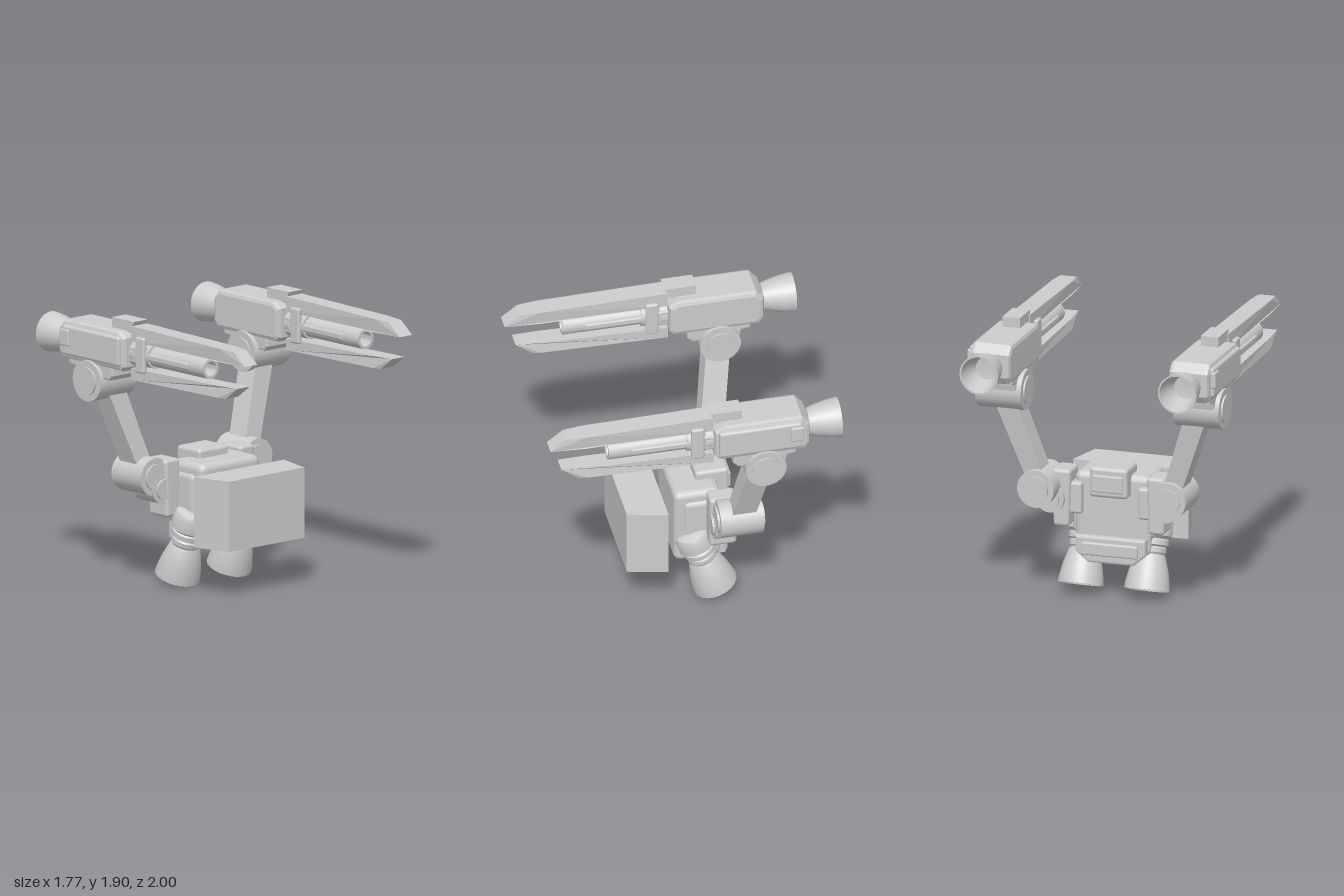
import * as THREE from 'three';
import { RoundedBoxGeometry } from 'three/addons/geometries/RoundedBoxGeometry.js';
import { toCreasedNormals } from 'three/addons/utils/BufferGeometryUtils.js';

const grey = new THREE.MeshStandardMaterial({ color: 0xcccccc, side: THREE.DoubleSide });
grey.name = 'grey';

function add(parent, name, geometry, x = 0, y = 0, z = 0) {
  const mesh = new THREE.Mesh(geometry, grey);
  mesh.name = name;
  mesh.position.set(x, y, z);
  parent.add(mesh);
  return mesh;
}

// Soft-edged box given by its limits
function softBox(parent, name, x0, x1, y0, y1, z0, z1, r = 0.02) {
  const g = new RoundedBoxGeometry(Math.abs(x1 - x0), y1 - y0, z1 - z0, 2, r);
  return add(parent, name, g, (x0 + x1) / 2, (y0 + y1) / 2, (z0 + z1) / 2);
}

// Side profile of [z, y] points, extruded across x and centred on x = 0
function sideExtrude(points, width, bevel = 0) {
  const shape = new THREE.Shape(points.map(([z, y]) => new THREE.Vector2(z, y)));
  const g = new THREE.ExtrudeGeometry(shape, {
    depth: width - 2 * bevel, bevelEnabled: bevel > 0, bevelSize: bevel,
    bevelThickness: bevel, bevelOffset: -bevel, bevelSegments: 2,
  });
  return g.translate(0, 0, bevel - width / 2).rotateY(-Math.PI / 2);
}

// Turned part from [radius, height] points
function turned(points) {
  const g = new THREE.LatheGeometry(points.map(([r, y]) => new THREE.Vector2(r, y)), 40);
  return toCreasedNormals(g, 0.6);
}

// Joint drum with a raised hub on both ends, along y
function drum(r, length, hub = 0.09, lip = 0.015) {
  const h = length / 2;
  return turned([[0, -h - lip], [hub, -h - lip], [hub, -h], [r, -h], [r, h], [hub, h], [hub, h + lip], [0, h + lip]]);
}

function buildBody(root) {
  const body = new THREE.Group();
  body.name = 'body';
  root.add(body);
  softBox(body, 'torso', -0.27, 0.27, 0.3, 0.87, -0.29, 0.035, 0.05);
  softBox(body, 'torsoCore', -0.29, 0.29, 0.42, 0.8, -0.27, -0.03, 0.04);
  softBox(body, 'topPack', -0.135, 0.135, 0.72, 0.93, -0.375, -0.14, 0.025);
  softBox(body, 'topPackPlate', -0.11, 0.11, 0.76, 0.88, -0.39, -0.36, 0.01);

  // Rear belt with cut lower corners
  const beltShape = new THREE.Shape([[-0.16, 0.245], [0.16, 0.245], [0.25, 0.32], [0.25, 0.43], [-0.25, 0.43], [-0.25, 0.32]]
    .map(p => new THREE.Vector2(...p)));
  add(body, 'rearBelt', new THREE.ExtrudeGeometry(beltShape, {
    depth: 0.14, bevelThickness: 0.015, bevelSize: 0.015, bevelOffset: -0.015, bevelSegments: 2,
  }), 0, 0, -0.315);
  softBox(body, 'rearBeltPlate', -0.2, 0.2, 0.3, 0.39, -0.35, -0.31, 0.012);

  // Floating front shield, narrowing toward the front
  const shield = new THREE.BoxGeometry(0.82, 0.485, 0.275);
  const p = shield.attributes.position;
  for (let i = 0; i < p.count; i++) if (p.getZ(i) > 0) p.setX(i, p.getX(i) * 0.84);
  shield.computeVertexNormals();
  add(body, 'frontShield', shield, 0, 0.582, 0.243);
}

// Tilted lower thruster
function buildThruster(root, s) {
  const thruster = new THREE.Group();
  thruster.name = 'thruster';
  thruster.position.set(s * 0.235, 0.064, -0.252);
  thruster.rotation.x = 0.345;
  root.add(thruster);
  add(thruster, 'thrusterBell', turned([
    [0, 0.22], [0.07, 0.2], [0.115, 0.1], [0.143, 0], [0.155, 0], [0.152, 0.04],
    [0.135, 0.13], [0.105, 0.23], [0.09, 0.255], [0, 0.255]]));
  add(thruster, 'thrusterCollar', turned([
    [0, 0.24], [0.09, 0.24], [0.105, 0.26], [0.105, 0.29], [0.095, 0.3], [0.115, 0.31], [0.115, 0.345],
    [0.105, 0.355], [0.13, 0.375], [0.13, 0.46], [0.115, 0.49], [0.07, 0.51], [0, 0.51]]));
}

function buildArm(root, s) {
  const arm = new THREE.Group();
  arm.name = 'arm';
  root.add(arm);

  // Shoulder block, its lower end drawn in
  const block = softBox(arm, 'shoulderBlock', s * 0.27, s * 0.405, 0.49, 0.89, -0.37, -0.18, 0.025);
  const bp = block.geometry.attributes.position;
  for (let i = 0; i < bp.count; i++) if (bp.getY(i) < -0.15) bp.setX(i, bp.getX(i) * 0.8);
  softBox(arm, 'shoulderMount', s * 0.2, s * 0.33, 0.58, 0.8, -0.34, -0.21, 0.02);

  const lower = add(arm, 'shoulderPivot', drum(0.1, 0.2, 0.07), s * 0.405, 0.69, -0.3);
  const upper = add(arm, 'shoulderJoint', drum(0.13, 0.295), s * 0.468, 0.78, -0.365);
  lower.rotation.x = upper.rotation.x = Math.PI / 2;

  // Leaning strut, from shoulder to elbow
  const strut = new THREE.BoxGeometry(0.145, 0.67, 0.165);
  const p = strut.attributes.position;
  for (let i = 0; i < p.count; i++) {
    const t = p.getY(i) / 0.67;
    p.setX(i, p.getX(i) * (1 + 0.2 * t) + s * 0.23 * t);
    p.setZ(i, p.getZ(i) - 0.1 * t);
  }
  strut.computeVertexNormals();
  add(arm, 'armStrut', strut, s * 0.58, 1.115, -0.42);

  const elbow = add(arm, 'elbowJoint', drum(0.14, 0.325, 0.095, 0.012), s * 0.703, 1.46, -0.466);
  elbow.rotation.z = Math.PI / 2;
}

// Tapered rail with a slanted tip
function rail(points) {
  const g = sideExtrude(points, 0.138);
  const p = g.attributes.position;
  for (let i = 0; i < p.count; i++) if (p.getZ(i) > 0.8) p.setX(i, p.getX(i) * 0.83);
  g.computeVertexNormals();
  return g;
}

function buildCannon(root, s) {
  const cannon = new THREE.Group();
  cannon.name = 'cannon';
  cannon.position.x = s * 0.705;
  root.add(cannon);

  // Housing, lower carriage and side panels
  add(cannon, 'housing', sideExtrude([
    [-0.12, 1.6], [-0.15, 1.57], [-0.74, 1.57], [-0.775, 1.62], [-0.775, 1.78], [-0.72, 1.84],
    [-0.18, 1.84], [-0.12, 1.8]], 0.285, 0.03));
  add(cannon, 'carriage', sideExtrude([
    [-0.245, 1.6], [-0.245, 1.52], [-0.28, 1.485], [-0.61, 1.485], [-0.62, 1.53], [-0.68, 1.54], [-0.69, 1.6]], 0.26, 0.015));
  softBox(cannon, 'sidePanel', s * 0.1, s * 0.165, 1.605, 1.81, -0.72, -0.145, 0.02);
  softBox(cannon, 'panelLatch', s * 0.13, s * 0.178, 1.67, 1.785, -0.725, -0.635, 0.012);
  add(cannon, 'topSight', sideExtrude([[-0.1, 1.91], [-0.14, 1.83], [-0.32, 1.83], [-0.32, 1.91]], 0.125));

  // Rails above and below the barrel
  add(cannon, 'upperRail', rail([[-0.125, 1.775], [0.76, 1.772], [1, 1.775], [0.89, 1.86], [0.76, 1.865], [-0.125, 1.88]]));
  add(cannon, 'lowerRail', rail([[-0.125, 1.51], [0.75, 1.525], [0.81, 1.525], [0.925, 1.612], [0.75, 1.607], [-0.125, 1.59]]));

  // Hollow barrel, muzzle forward
  const barrel = add(cannon, 'barrel', turned([
    [0, -0.15], [0.095, -0.15], [0.095, -0.07], [0.085, -0.06], [0.085, 0.06], [0.07, 0.06],
    [0.07, 0.6], [0.05, 0.6], [0.05, 0.35], [0, 0.35]]), 0, 1.69, 0);
  barrel.rotation.x = Math.PI / 2;
  for (const side of [-1, 1]) {
    softBox(cannon, 'barrelClamp', side * 0.065, side * 0.1, 1.575, 1.822, -0.055, 0.035, 0.015);
    softBox(cannon, 'clampArm', side * 0.055, side * 0.09, 1.635, 1.745, -0.13, 0, 0.012);
    softBox(cannon, 'barrelRod', side * 0.05, side * 0.082, 1.668, 1.715, 0, 0.45, 0.012);
  }

  // Open rear exhaust
  const exhaust = add(cannon, 'exhaust', turned([
    [0, 0.03], [0.09, 0.03], [0.107, 0.08], [0.128, 0.17], [0.137, 0.25], [0.125, 0.25],
    [0.11, 0.16], [0.08, 0.07], [0, 0.06]]), 0, 1.695, -0.75);
  exhaust.rotation.x = -Math.PI / 2;
}

export function createModel() {
  const root = new THREE.Group();
  root.name = 'twinCannonPack';
  buildBody(root);
  for (const s of [-1, 1]) {
    buildThruster(root, s);
    buildArm(root, s);
    buildCannon(root, s);
  }
  return root;
}
